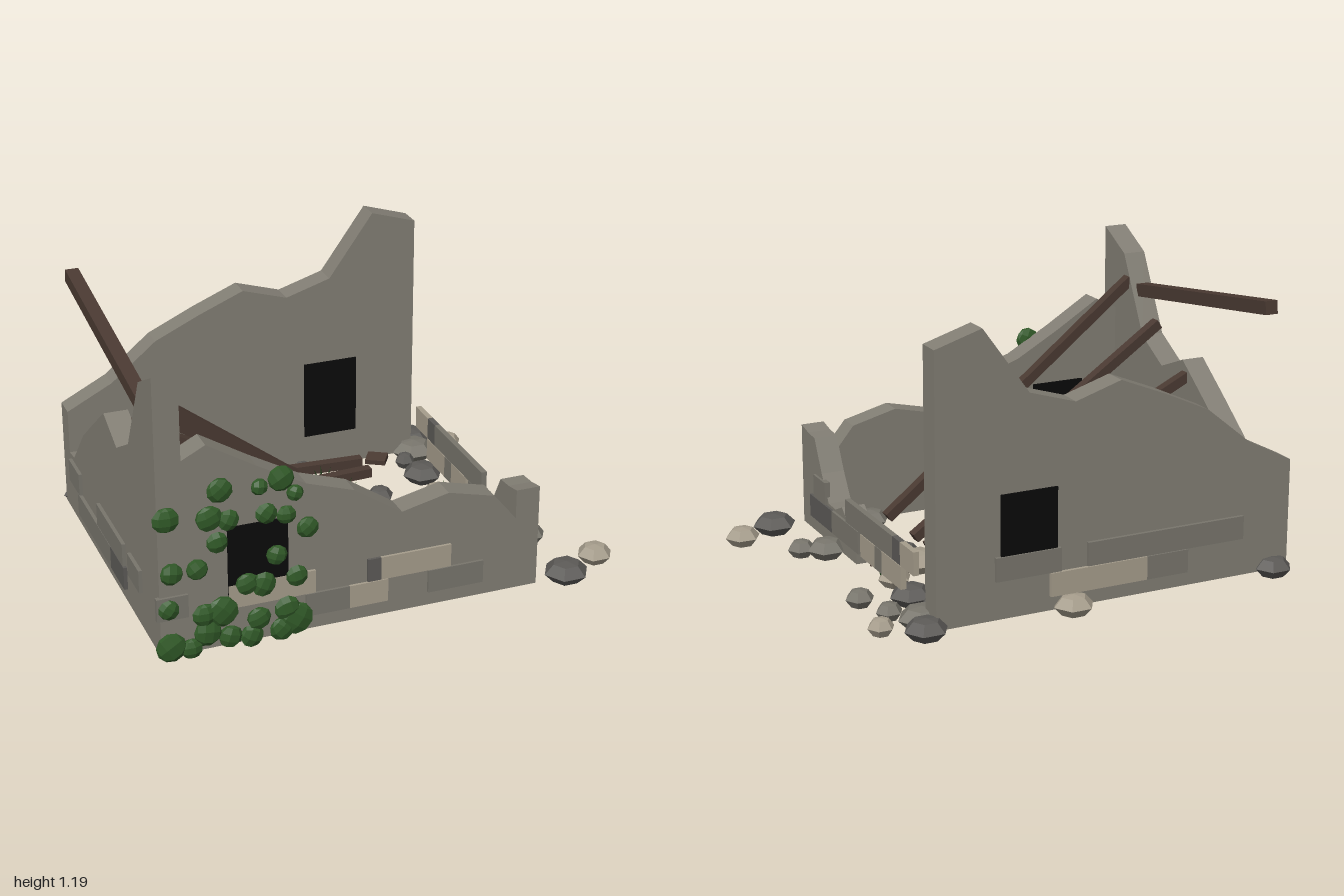
import * as THREE from 'three';

const mat = (name, color, double = false) => {
  const m = new THREE.MeshStandardMaterial({ color, flatShading: true });
  m.name = name;
  if (double) m.side = THREE.DoubleSide;
  return m;
};

export function createModel() {
  const root = new THREE.Group();
  root.name = 'ruinedHouse';
  const M = {
    W: mat('wallStone', 0x827e74),
    M: mat('midStone', 0x78756c),
    D: mat('darkStone', 0x5c5a57),
    L: mat('lightStone', 0xa69d8c),
    wood: mat('oldWood', 0x4a3a32),
    ivy: mat('ivyGreen', 0x315a28),
    grass: mat('grassGreen', 0x1f3d1a, true),
    dark: mat('windowBlack', 0x0a0a0a),
  };
  const group = (name) => {
    const g = new THREE.Group();
    g.name = name;
    root.add(g);
    return g;
  };
  const add = (parent, name, geo, m, x = 0, y = 0, z = 0) => {
    const mesh = new THREE.Mesh(geo, m);
    mesh.name = name;
    mesh.position.set(x, y, z);
    parent.add(mesh);
    return mesh;
  };
  const box = (parent, name, m, x0, x1, y0, y1, z0, z1) =>
    add(parent, name, new THREE.BoxGeometry(x1 - x0, y1 - y0, z1 - z0), m,
      (x0 + x1) / 2, (y0 + y1) / 2, (z0 + z1) / 2);

  // Walls: broken skyline over evenly spaced stations
  const BASE = 0.04;
  const wallGeo = (u0, u1, tops) => {
    const pts = tops.map((h, i) => new THREE.Vector2(u0 + (u1 - u0) * i / (tops.length - 1), h));
    const s = new THREE.Shape([new THREE.Vector2(u0, BASE), new THREE.Vector2(u1, BASE), ...pts.reverse()]);
    return new THREE.ExtrudeGeometry(s, { depth: 0.1, bevelEnabled: false });
  };
  const walls = group('walls');
  add(walls, 'frontWall', wallGeo(-0.96, 0.605, [0.8, 0.9, 0.78, 0.67, 0.605, 0.475, 0.52, 0.47, 0.23]), M.W, 0, 0, 0.59);
  add(walls, 'backWall', wallGeo(-0.96, 0.605, [0.5, 0.6, 0.76, 0.85, 0.93, 0.87, 0.93, 1.2, 1.14]), M.W, 0, 0, -0.69);
  add(walls, 'rightHandWall', wallGeo(-0.69, 0.69, [0.3, 0.32, 0.5, 0.63, 0.755, 0.685, 0.78, 1.11, 1.2])
    .rotateY(-Math.PI / 2), M.W, -0.86, 0, 0);
  add(walls, 'leftHandWall', wallGeo(0.1, 0.69, [0.14, 0.18, 0.24, 0.207, 0.21, 0.32, 0.455, 0.46, 0.475])
    .rotateY(-Math.PI / 2), M.W, 0.605, 0, 0);

  // Window openings: thin dark plates on both faces of each wall
  const windows = group('windows');
  for (const [x, z] of [[-0.57, 0.64], [0.215, -0.64]])
    for (const s of [-1, 1])
      box(windows, 'windowPlate', M.dark, x - 0.12, x + 0.12, 0.2, 0.545, z + s * 0.054 - 0.004, z + s * 0.054 + 0.004);

  // Facing stones: [start, end, course, colour] along each wall
  const stones = group('facingStones');
  const course = (list, place) => list.forEach(([a, b, row, c]) => place(a, b, 0.1 * row, 0.1 * row + 0.097, M[c]));
  course([[-0.69, -0.34, 2, 'L'], [-0.975, -0.85, 2, 'M'], [-0.38, -0.2, 1, 'M'], [-0.2, -0.04, 1, 'L'],
    [-0.125, -0.07, 2, 'D'], [-0.07, 0.225, 2, 'L'], [0.13, 0.365, 1, 'M']],
  (a, b, y0, y1, m) => box(stones, 'frontStone', m, a, b, y0, y1, 0.68, 0.701));
  course([[0.08, 0.36, 2, 'M'], [-0.3, 0.125, 1, 'L'], [-0.485, -0.3, 1, 'M'], [-0.74, -0.037, 2, 'M']],
    (a, b, y0, y1, m) => box(stones, 'backStone', m, a, b, y0, y1, -0.705, -0.68));
  course([[-0.56, -0.4, 2, 'M'], [-0.43, 0.06, 1, 'M'], [0.06, 0.25, 1, 'D'], [-0.13, 0.24, 2, 'M'], [0.31, 0.465, 2, 'M']],
    (a, b, y0, y1, m) => box(stones, 'rightHandStone', m, -0.975, -0.95, y0, y1, a, b));
  course([[0.34, 0.585, 1, 'D'], [0.055, 0.34, 1, 'M'], [-0.12, 0.03, 1, 'L'], [-0.19, -0.12, 1, 'M'], [-0.38, -0.19, 1, 'L'],
    [0.41, 0.54, 2, 'M'], [-0.3, 0.185, 2, 'M'], [-0.375, -0.3, 2, 'D'], [-0.505, -0.375, 2, 'L']],
  (a, b, y0, y1, m) => box(stones, 'leftHandStone', m, 0.592, 0.616, y0, y1, a, b));

  // Fallen roof beams
  const beams = group('roofBeams');
  const beam = (name, a, b, w) => {
    const p = new THREE.Vector3(...a), q = new THREE.Vector3(...b);
    const m = add(beams, name, new THREE.BoxGeometry(w, w, p.distanceTo(q)), M.wood);
    m.position.copy(p).add(q).multiplyScalar(0.5);
    m.lookAt(q);
  };
  beam('ridgeBeam', [-0.91, 0.96, 0.44], [-0.91, 1.11, -0.59], 0.055);
  [[0.49, 0.445, 1.0], [0.235, 0.165, 0.86], [-0.02, 0.035, 0.69], [-0.29, -0.375, 0.1], [-0.535, -0.48, 0.1]]
    .forEach(([z0, z1, y]) => beam('rafter', [-0.87, y, z0], [0.32, 0.09, z1], 0.042));

  // Rubble: flattened six-sided stones [x, z, radius, colour]
  const rubble = group('rubble');
  const rockGeo = new THREE.LatheGeometry(
    [[0, -1], [0.6, -0.85], [1, 0], [0.6, 0.85], [0, 1]].map(([r, y]) => new THREE.Vector2(r, y)), 6)
    .rotateY(Math.PI / 6);
  [[-0.89, -0.7, 0.08, 'D'], [-0.31, -0.57, 0.09, 'L'], [-0.7, -0.455, 0.04, 'L'], [-0.09, -0.51, 0.1, 'M'],
    [0.03, -0.71, 0.085, 'L'], [0.075, -0.555, 0.05, 'D'], [0.645, -0.685, 0.09, 'D'], [0.61, -0.57, 0.1, 'M'],
    [0.79, -0.59, 0.055, 'L'], [0.7, -0.46, 0.055, 'M'], [0.53, -0.48, 0.045, 'D'], [0.555, -0.34, 0.09, 'D'],
    [0.75, -0.285, 0.06, 'M'], [0.3, -0.21, 0.06, 'D'], [0.54, -0.14, 0.07, 'L'], [-0.57, -0.15, 0.09, 'D'],
    [0.095, -0.11, 0.06, 'D'], [0.375, -0.01, 0.1, 'L'], [0.395, 0.105, 0.075, 'D'], [-0.165, 0.045, 0.09, 'D'],
    [-0.06, 0.155, 0.09, 'L'], [-0.44, 0.155, 0.085, 'D'], [0.145, 0.305, 0.045, 'L'], [0.42, 0.31, 0.075, 'D'],
    [0.66, 0.29, 0.085, 'M'], [0.755, 0.335, 0.06, 'M'], [-0.76, 0.43, 0.045, 'L'], [0, 0.445, 0.045, 'D'],
    [0.08, 0.425, 0.06, 'M'], [-0.055, 0.565, 0.085, 'M'], [0.355, 0.545, 0.08, 'M'], [0.75, 0.67, 0.095, 'D'],
    [0.925, 0.58, 0.075, 'L']]
    .forEach(([x, z, r, c]) => {
      const h = 0.025 + r * 0.22;
      add(rubble, 'rubbleStone', rockGeo, M[c], x, 0.055, z).scale.set(r, h, r * 0.97);
    });
  // Broken planks
  [[0.405, -0.505, 0.6], [-0.37, -0.175, 1.4], [0.03, -0.1, -0.6], [0.535, -0.02, -0.5],
    [-0.45, 0.36, -0.8], [-0.145, 0.385, 0.4], [-0.74, 0.535, 0.5]]
    .forEach(([x, z, a]) => {
      add(rubble, 'brokenPlank', new THREE.BoxGeometry(0.09, 0.022, 0.07), M.wood, x, 0.075, z).rotation.set(0.15, -a, 0.12);
    });

  // Grass tufts
  const grass = group('grassTufts');
  const blade = new THREE.ConeGeometry(0.008, 0.075, 3).translate(0, 0.0375, 0);
  [[-0.8, -0.485], [0.115, -0.41], [-0.385, -0.375], [0.175, -0.275], [-0.525, -0.24], [0.11, -0.01],
    [0.565, -0.1], [-0.54, 0.35], [-0.25, 0.365]]
    .forEach(([x, z], i) => {
      for (let k = 0; k < 5; k++) {
        const a = i + k * 1.26;
        add(grass, 'grassBlade', blade, M.grass, x + 0.012 * Math.cos(a), 0.05, z + 0.012 * Math.sin(a))
          .rotation.set(0.4 * Math.sin(a), 0, -0.4 * Math.cos(a));
      }
    });

  // Ivy: flattened leaf clumps on the front wall [x, y, radius]
  const ivy = group('ivy');
  const leafGeo = new THREE.SphereGeometry(1, 7, 5);
  [[-0.93, 0.63, 0.055], [-0.72, 0.715, 0.053], [-0.565, 0.7, 0.035], [-0.48, 0.72, 0.055], [-0.425, 0.65, 0.035],
    [-0.765, 0.605, 0.055], [-0.69, 0.585, 0.045], [-0.735, 0.5, 0.045], [-0.54, 0.585, 0.045], [-0.46, 0.565, 0.04],
    [-0.375, 0.495, 0.046], [-0.915, 0.4, 0.047], [-0.815, 0.4, 0.045], [-0.5, 0.4, 0.044], [-0.62, 0.3, 0.048],
    [-0.555, 0.285, 0.053], [-0.42, 0.295, 0.046], [-0.93, 0.25, 0.043], [-0.79, 0.2, 0.05], [-0.72, 0.2, 0.068],
    [-0.78, 0.12, 0.058], [-0.925, 0.085, 0.064], [-0.69, 0.085, 0.05], [-0.575, 0.14, 0.05], [-0.605, 0.07, 0.05],
    [-0.46, 0.16, 0.055], [-0.425, 0.11, 0.073], [-0.845, 0.065, 0.045], [-0.48, 0.075, 0.053]]
    .forEach(([x, y, r], i) => {
      const m = add(ivy, 'ivyClump', leafGeo, M.ivy, x, y, 0.708);
      m.scale.set(r, r * 0.95, 0.024);
      m.rotation.z = i * 0.7;
    });
  return root;
}
